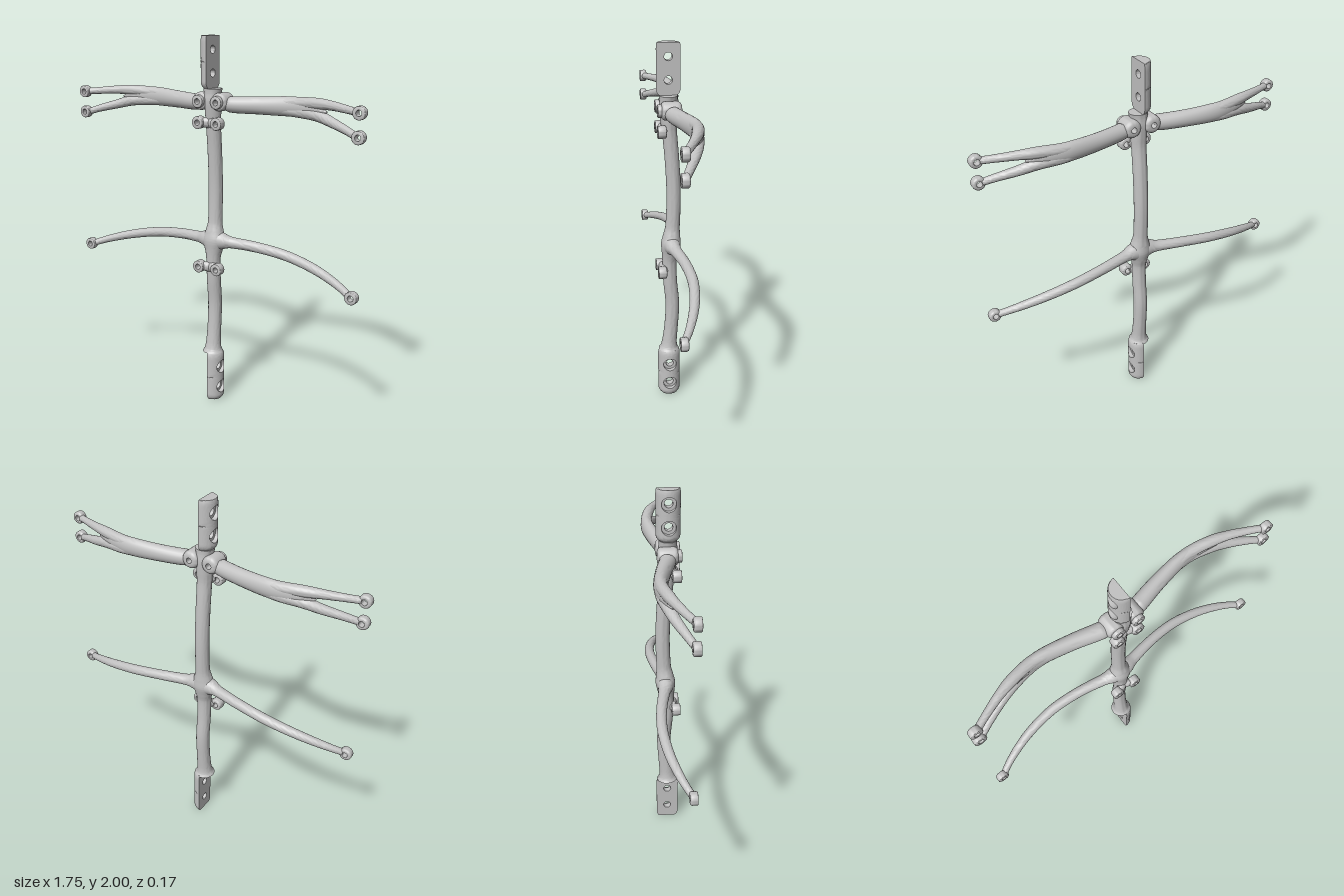
import * as THREE from 'three';
import { toCreasedNormals } from 'three/addons/utils/BufferGeometryUtils.js';

// Geometry from a flat position list and an index list, with smooth curves and sharp edges
function solid(positions, index) {
  const g = new THREE.BufferGeometry();
  g.setAttribute('position', new THREE.Float32BufferAttribute(positions, 3));
  g.setIndex(index);
  return toCreasedNormals(g, 0.75);
}

// Swept limb through points [x, y, z, radiusAcross, radiusInZ]
function limb(pts, steps = 8, sides = 24) {
  const path = new THREE.CatmullRomCurve3(pts.map(p => new THREE.Vector3(p[0], p[1], p[2])));
  const radii = new THREE.CatmullRomCurve3(pts.map((p, i) => new THREE.Vector3(p[3], p[4] ?? p[3], i * 0.05)));
  const n = (pts.length - 1) * steps, pos = [], idx = [];
  for (let i = 0; i <= n; i++) {
    const c = path.getPoint(i / n), r = radii.getPoint(i / n), T = path.getTangent(i / n);
    const N = new THREE.Vector3(0, 0, 1).addScaledVector(T, -T.z).normalize();
    const B = T.clone().cross(N);
    for (let j = 0; j < sides; j++) {
      const a = j / sides * Math.PI * 2;
      const p = c.clone().addScaledVector(B, Math.cos(a) * r.x).addScaledVector(N, Math.sin(a) * r.y);
      pos.push(p.x, p.y, p.z);
    }
  }
  for (let i = 0; i < n; i++) for (let j = 0; j < sides; j++) {
    const k = (j + 1) % sides, a = i * sides + j, b = i * sides + k;
    idx.push(a, a + sides, b, b, a + sides, b + sides);
  }
  // end caps
  for (const [ring, t] of [[0, 0], [n, 1]]) {
    const c = path.getPoint(t), m = pos.length / 3;
    pos.push(c.x, c.y, c.z);
    for (let j = 0; j < sides; j++) {
      const a = ring * sides + j, b = ring * sides + (j + 1) % sides;
      t ? idx.push(m, b, a) : idx.push(m, a, b);
    }
  }
  return solid(pos, idx);
}

// Ring with a through hole, facing +z, rounded by `back` behind and `front` ahead
function eyelet(z0, z1, R = 0.033, back = 0.01, front = 0.004) {
  const hole = 0.015, profile = [[hole, z0]];
  for (let i = 0; i <= 4; i++) {
    const a = i / 4 * Math.PI / 2;
    profile.push([R - back + back * Math.sin(a), z0 + back - back * Math.cos(a)]);
  }
  for (let i = 0; i <= 4; i++) {
    const a = i / 4 * Math.PI / 2;
    profile.push([R - front + front * Math.cos(a), z1 - front + front * Math.sin(a)]);
  }
  profile.push([hole, z1], [hole, z0]);
  const g = new THREE.LatheGeometry(profile.map(p => new THREE.Vector2(...p)), 32);
  return toCreasedNormals(g.rotateX(Math.PI / 2), 0.6);
}

// Half-round flange made of cells [y0, y1, holeY], each with a counterbored cross hole
const FR = 0.062, FZ = 0.018;
function flange(side, cells, taper) {
  const seg = 48, hole = 0.021, bore = 0.037, floor = 0.036, steps = 10;
  const joint = cells[0][1], pos = [], idx = [];
  const height = z => Math.sqrt(Math.max(0, FR * FR - z * z));
  for (const [y0, y1, holeY] of cells) {
    const cy = (y0 + y1) / 2, H = (y1 - y0) / 2, base = pos.length / 3;
    const circle = r => (c, s) => [r * c, holeY + r * s];
    const edge = (c, s) => { const m = Math.max(Math.abs(c), Math.abs(s)); return [FR * c / m, cy + H * s / m]; };
    const loops = [[edge, () => 0], [circle(hole), () => 0], [circle(hole), () => floor], [circle(bore), () => floor]];
    for (let k = 0; k <= steps; k++) {
      const t = Math.sin(k / steps * Math.PI / 2);
      loops.push([(c, s) => {
        const a = circle(bore)(c, s), b = edge(c, s);
        return [a[0] + (b[0] - a[0]) * t, a[1] + (b[1] - a[1]) * t];
      }, height]);
    }
    for (const [place, h] of loops) for (let j = 0; j < seg; j++) {
      const a = j / seg * Math.PI * 2, [z, y] = place(Math.cos(a), Math.sin(a)), s = taper(y);
      pos.push(side * h(z) * s, y, FZ + z * s);
    }
    const n = loops.length, atJoint = v => Math.abs(pos[v * 3 + 1] - joint) < 1e-6;
    for (let i = 0; i < n; i++) for (let j = 0; j < seg; j++) {
      const k = (j + 1) % seg, next = base + (i + 1) % n * seg;
      const a = base + i * seg + j, b = base + i * seg + k, c = next + j, d = next + k;
      if ([a, b, c, d].every(atJoint)) continue; // no wall between the two cells
      side < 0 ? idx.push(a, c, d, a, d, b) : idx.push(a, d, c, a, b, d);
    }
  }
  return solid(pos, idx);
}

export function createModel() {
  const model = new THREE.Group();
  model.name = 'bracketFrame';
  const grey = new THREE.MeshStandardMaterial({ color: 0xc2c2c2 });
  grey.name = 'grey metal';
  const add = (name, geo, x = 0, y = 0) => {
    const m = new THREE.Mesh(geo, grey);
    m.name = name;
    m.position.set(x, y, 0);
    model.add(m);
  };

  // Gently waved mast with flared ends and a swollen lower hub
  add('mast', limb([
    [0, 0.277, 0.018, 0.058], [0, 0.295, 0.017, 0.047], [0, 0.33, 0.014, 0.041], [0, 0.42, 0.005, 0.038],
    [0, 0.56, -0.002, 0.038], [0, 0.7, 0.01, 0.038], [0, 0.82, 0.014, 0.039], [0, 0.87, 0.01, 0.05, 0.046],
    [0, 0.92, 0.006, 0.066, 0.053], [0, 0.965, 0.002, 0.052, 0.047], [0, 1.02, -0.003, 0.039],
    [0, 1.2, -0.009, 0.038], [0, 1.4, 0, 0.038], [0, 1.55, 0.013, 0.039], [0, 1.61, 0.016, 0.041, 0.045],
    [0, 1.67, 0.018, 0.04, 0.05], [0, 1.71, 0.018, 0.046, 0.046], [0, 1.735, 0.018, 0.051, 0.046]], 8, 32));

  // Half-round bolting flanges on opposite sides of the mast
  const ease = (d, k) => 1 - k * Math.max(0, 1 - d / 0.03) ** 2;
  add('topFlange', flange(-1, [[1.733, 1.87, 1.812], [1.87, 2, 1.93]], y => ease(2 - y, 0.06) * ease(y - 1.733, 0.3)));
  add('bottomFlange', flange(1, [[0, 0.138, 0.078], [0.138, 0.28, 0.197]], y => ease(y, 0.2) * ease(0.28 - y, 0.1)));

  for (const s of [1, -1]) {
    const side = s > 0 ? 'left' : 'right';
    const arm = pts => limb(pts.map(p => [s * p[0], ...p.slice(1)]));

    // Upper arm: thick root that flattens out into a fork
    add(side + 'UpperArm', arm([
      [0.076, 1.664, 0.01, 0.03, 0.034], [0.1, 1.658, 0.006, 0.041, 0.042], [0.25, 1.658, -0.03, 0.045, 0.038],
      [0.42, 1.662, -0.056, 0.05, 0.033], [0.51, 1.662, -0.05, 0.045, 0.027], [0.57, 1.66, -0.038, 0.03, 0.021],
      [0.605, 1.656, -0.028, 0.014, 0.014], [0.632, 1.652, -0.021, 0.004, 0.005]]));
    add(side + 'UpperFork', arm([
      [0.36, 1.676, -0.051, 0.03], [0.46, 1.683, -0.055, 0.029], [0.58, 1.688, -0.035, 0.028],
      [0.66, 1.687, -0.012, 0.023], [0.76, 1.68, 0.027, 0.019], [0.819, 1.675, 0.053, 0.018]]));
    add(side + 'LowerFork', arm([
      [0.36, 1.645, -0.051, 0.03], [0.46, 1.64, -0.055, 0.03], [0.58, 1.63, -0.035, 0.029],
      [0.66, 1.609, -0.012, 0.025], [0.76, 1.582, 0.027, 0.02], [0.819, 1.563, 0.053, 0.018]]));

    // Slender drooping arm
    add(side + 'LowerArm', arm([
      [0, 0.92, 0.006, 0.06, 0.05], [0.05, 0.921, 0.002, 0.046, 0.042], [0.1, 0.918, -0.008, 0.031, 0.032],
      [0.25, 0.908, -0.036, 0.028], [0.42, 0.887, -0.048, 0.027], [0.58, 0.855, -0.03, 0.025],
      [0.7, 0.823, 0.002, 0.022], [0.78, 0.797, 0.033, 0.019], [0.819, 0.782, 0.053, 0.018]]));

    // Eyelets at the arm tips
    for (const y of [1.674, 1.56, 0.777]) add(side + 'TipEyelet', eyelet(0.04, 0.078), s * 0.84, y);

    // Hub shoulders bored right through, each with a raised rim in front
    add(side + 'HubShoulder', eyelet(-0.042, 0.062, 0.047, 0.024, 0.018), s * 0.057, 1.669);
    add(side + 'HubBoss', eyelet(0.04, 0.082), s * 0.057, 1.669);

    // Smaller bosses joined to the mast by lugs
    for (const y of [1.56, 0.777]) {
      add(side + 'MastBoss', eyelet(0.036, 0.082), s * 0.057, y);
      add(side + 'MastLug', limb([[0, y, 0.03, 0.034, 0.03], [s * 0.02, y, 0.045, 0.028, 0.024], [s * 0.037, y, 0.056, 0.024, 0.018]]));
    }
  }
  return model;
}
